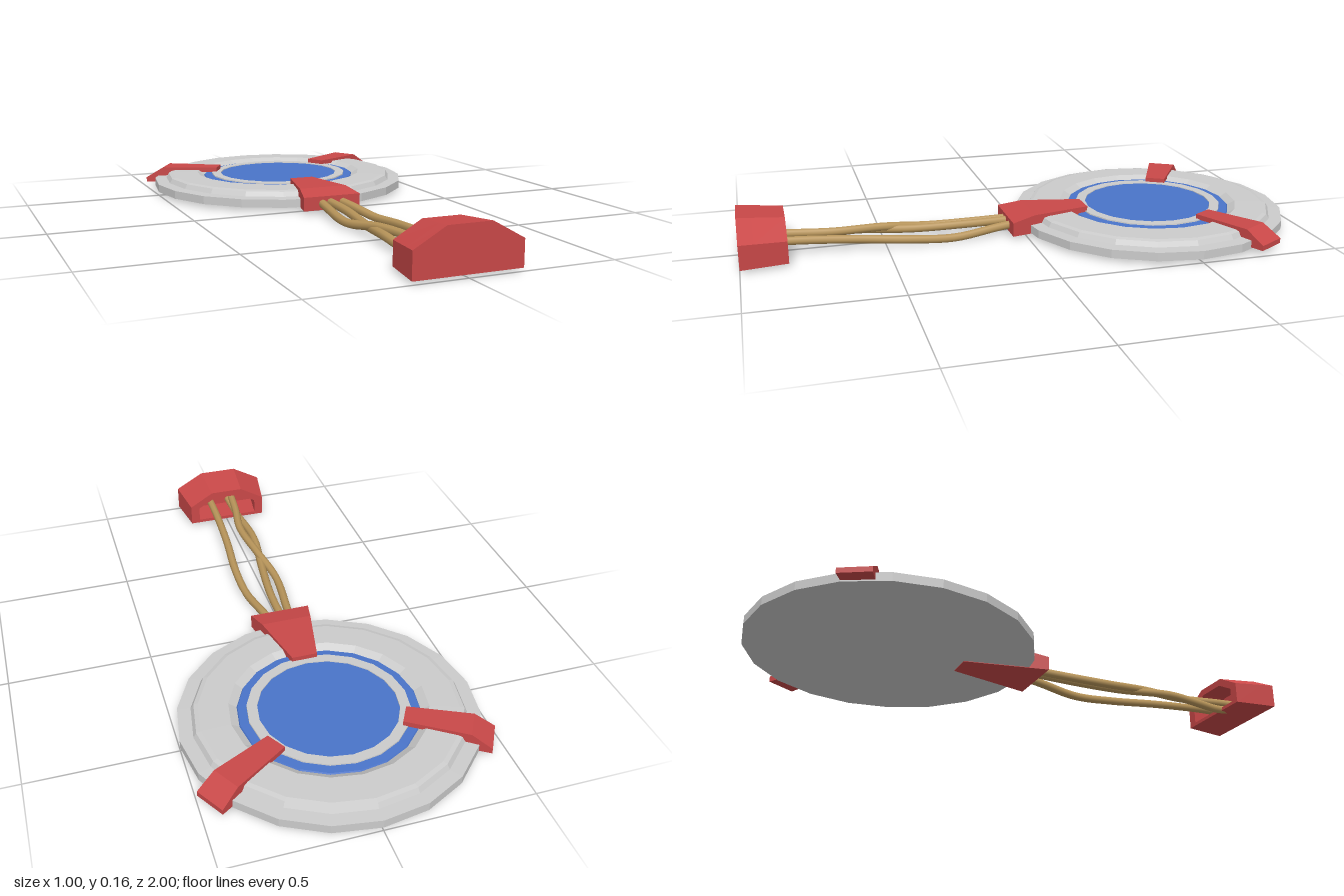
import * as THREE from 'three';

const SIDES = 20;
const mat = (color, extra = {}) => new THREE.MeshStandardMaterial({ color, flatShading: true, ...extra });
const V = (pairs) => pairs.map(([x, y]) => new THREE.Vector2(x, y));

function add(parent, name, geometry, material) {
  const mesh = new THREE.Mesh(geometry, material);
  mesh.name = name;
  parent.add(mesh);
  return mesh;
}

// Side profile (radius, height) extruded across, with a width that tapers along the radius
function clipGeometry(profile, rIn, wIn, rOut, wOut) {
  const geo = new THREE.ExtrudeGeometry(new THREE.Shape(V(profile)), { depth: 1, bevelEnabled: false });
  const p = geo.attributes.position;
  for (let i = 0; i < p.count; i++) {
    const t = (p.getX(i) - rIn) / (rOut - rIn);
    p.setZ(i, (p.getZ(i) - 0.5) * 2 * (wIn + (wOut - wIn) * t));
  }
  geo.computeVertexNormals();
  return geo;
}

// Slab of the plug between two depths, shrinking toward the back
function plugSlab(outline, hole, z0, z1) {
  const shape = new THREE.Shape(V(outline));
  if (hole) shape.holes.push(new THREE.Path(V(hole)));
  const geo = new THREE.ExtrudeGeometry(shape, { depth: z1 - z0, bevelEnabled: false });
  geo.translate(0, 0, z0);
  const p = geo.attributes.position;
  for (let i = 0; i < p.count; i++) {
    const t = (1 - p.getZ(i)) / 0.16;
    p.setX(i, p.getX(i) * (1 - 0.13 * t));
    p.setY(i, 0.013 + (p.getY(i) - 0.013) * (1 - 0.1 * t));
  }
  geo.computeVertexNormals();
  return geo;
}

export function createModel() {
  const model = new THREE.Group();
  model.name = 'discWithCable';
  const grey = mat(0xcccccc);
  const blue = mat(0x4a74c9);
  const red = mat(0xc94848);
  const tan = mat(0xb8955a, { flatShading: false });

  // Stepped disc and its inlaid rings
  const disc = new THREE.Group();
  disc.name = 'disc';
  disc.position.z = -0.5;
  model.add(disc);
  const lathe = (name, profile, material) =>
    add(disc, name, new THREE.LatheGeometry(V(profile), SIDES), material);
  lathe('housing', [[0, 0.015], [0.5, 0.015], [0.5, 0.045], [0.455, 0.047], [0.445, 0.064],
    [0.43, 0.068], [0.33, 0.07], [0.3, 0.052], [0, 0.052]], grey);
  lathe('outerBlueRing', [[0.305, 0.05], [0.3, 0.058], [0.265, 0.06]], blue);
  lathe('innerGreyRing', [[0.272, 0.05], [0.27, 0.064], [0.235, 0.064], [0.233, 0.05]], grey);
  lathe('bluePanel', [[0.236, 0.061], [0, 0.061]], blue);

  // Two rear clips hooked over the rim
  const rearClip = clipGeometry([[0.25, 0.062], [0.42, 0.062], [0.46, 0.04], [0.49, 0.02], [0.54, 0.02],
    [0.54, 0.038], [0.47, 0.08], [0.25, 0.08]], 0.25, 0.037, 0.54, 0.056);
  [['rearClipLeft', 30], ['rearClipRight', 150]].forEach(([name, deg]) => {
    add(disc, name, rearClip, red).rotation.y = THREE.MathUtils.degToRad(deg);
  });

  // Wide front clip where the cables leave
  const frontClip = clipGeometry([[0.255, 0.013], [0.555, 0.013], [0.555, 0.063], [0.47, 0.08], [0.255, 0.08]],
    0.255, 0.045, 0.555, 0.11);
  add(disc, 'frontClip', frontClip, red).rotation.y = -Math.PI / 2;

  // Plug with an opening at the back
  const plug = new THREE.Group();
  plug.name = 'plug';
  model.add(plug);
  const outline = [[-0.18, 0.013], [0.18, 0.013], [0.18, 0.1], [0.073, 0.16], [-0.073, 0.16], [-0.18, 0.1]];
  const opening = [[-0.14, 0.027], [-0.14, 0.088], [-0.062, 0.132], [0.062, 0.132], [0.14, 0.088], [0.14, 0.027]];
  add(plug, 'plugFront', plugSlab(outline, null, 0.95, 1), red);
  add(plug, 'plugSleeve', plugSlab(outline, opening, 0.84, 0.95), red);

  // Three loosely twisted cables
  const cables = [
    [[0.035, 0.04, 0], [0.05, 0.033, 0.1], [0.073, 0.018, 0.26], [0.076, 0.028, 0.42], [0.062, 0.042, 0.6],
      [0.055, 0.055, 0.8], [0.055, 0.06, 0.95]],
    [[-0.03, 0.04, 0], [-0.045, 0.032, 0.12], [-0.065, 0.025, 0.33], [-0.035, 0.045, 0.5], [-0.015, 0.05, 0.68],
      [-0.035, 0.052, 0.83], [-0.045, 0.055, 0.95]],
    [[-0.005, 0.04, 0], [-0.008, 0.036, 0.2], [-0.03, 0.03, 0.4], [-0.055, 0.036, 0.6], [-0.055, 0.026, 0.72],
      [-0.045, 0.021, 0.83], [-0.03, 0.045, 0.95]],
  ];
  cables.forEach((points, i) => {
    const curve = new THREE.CatmullRomCurve3(points.map((p) => new THREE.Vector3(...p)));
    add(model, `cable${i + 1}`, new THREE.TubeGeometry(curve, 32, 0.0155, 8), tan);
  });

  return model;
}
